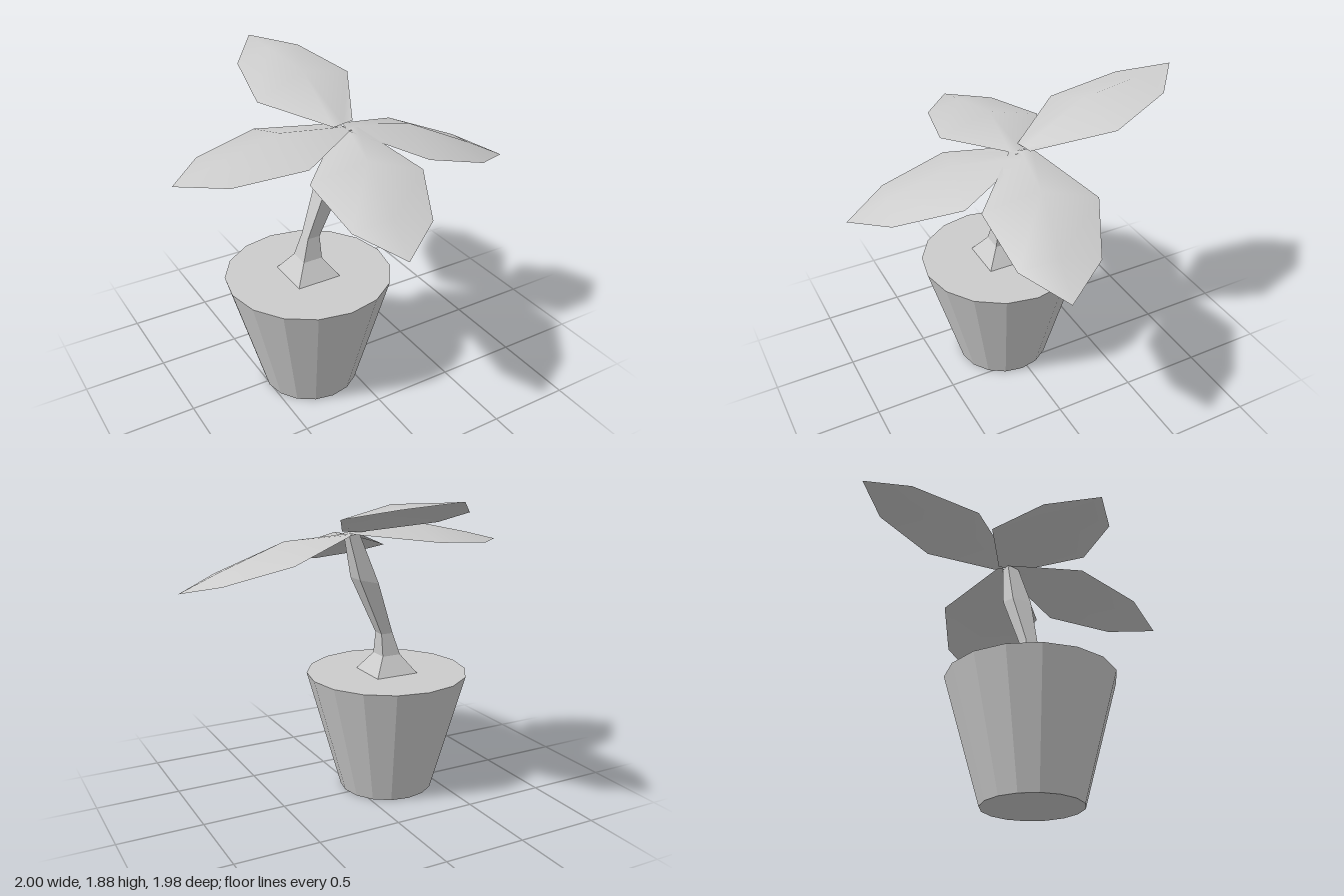
import * as THREE from 'three';

const grey = (options) => new THREE.MeshStandardMaterial({ color: 0xcccccc, ...options });

function buildMesh(name, points, index, material) {
  const geometry = new THREE.BufferGeometry();
  geometry.setAttribute('position', new THREE.Float32BufferAttribute(points.flat(), 3));
  geometry.setIndex(index);
  geometry.computeVertexNormals();
  const mesh = new THREE.Mesh(geometry, material);
  mesh.name = name;
  return mesh;
}

// Square trunk; each section is [x, y, z, half width, slope of the cut]
function createTrunk(sections) {
  const points = [];
  const index = [];
  sections.forEach(([x, y, z, h, slope], i) => {
    for (const [sx, sz] of [[-1, 1], [1, 1], [1, -1], [-1, -1]]) {
      points.push([x + sx * h, y + sx * slope, z + sz * h]);
    }
    if (i === 0) return;
    for (let k = 0; k < 4; k++) {
      const a = (i - 1) * 4 + k;
      const b = (i - 1) * 4 + (k + 1) % 4;
      index.push(a, b, b + 4, a, b + 4, a + 4);
    }
  });
  const t = (sections.length - 1) * 4;
  index.push(t, t + 1, t + 2, t, t + 2, t + 3);
  return buildMesh('trunk', points, index, grey({ flatShading: true }));
}

// Folded leaf: midrib points from base to tip, edges hang below the rib
const HALF_WIDTHS = [0.065, 0.317, 0.217];
const DROPS = [0, 0.09, 0.04];

function createLeaf(name, rib, tilt = 0) {
  const [base, , , tip] = rib;
  const length = Math.hypot(tip[0] - base[0], tip[2] - base[2]);
  const dx = (tip[0] - base[0]) / length;
  const dz = (tip[2] - base[2]) / length;
  const points = [];
  const index = [];
  HALF_WIDTHS.forEach((w, i) => {
    const [x, y, z] = rib[i];
    for (const s of [-1, 0, 1]) {
      points.push([x - s * dz * w, y - Math.abs(s) * DROPS[i] + s * tilt * w, z + s * dx * w]);
    }
  });
  points.push(tip);
  for (let i = 0; i < 2; i++) {
    for (let k = 0; k < 2; k++) {
      const a = i * 3 + k;
      index.push(a, a + 1, a + 4, a, a + 4, a + 3);
    }
  }
  index.push(6, 7, 9, 7, 8, 9);
  return buildMesh(name, points, index, grey({ side: THREE.DoubleSide }));
}

export function createModel() {
  const model = new THREE.Group();
  model.name = 'pottedPlant';

  // Tapered pot with a flat top
  const pot = new THREE.Mesh(
    new THREE.CylinderGeometry(0.493, 0.288, 0.74, 16), grey({ flatShading: true }));
  pot.name = 'pot';
  pot.position.set(-0.22, 0.37, 0.038);
  model.add(pot);

  // Leaning trunk with a flared foot
  model.add(createTrunk([
    [-0.22, 0.74, 0.038, 0.137, 0],
    [-0.22, 0.85, 0.038, 0.06, 0],
    [-0.2, 0.985, 0.038, 0.038, 0],
    [-0.065, 1.32, 0.038, 0.062, 0.015],
    [0.02, 1.6, 0.038, 0.035, 0],
  ]));

  // Four leaves fanning out from the top of the trunk
  model.add(
    createLeaf('backLeaf',
      [[0.035, 1.617, 0.01], [0.0, 1.81, -0.38], [-0.03, 1.85, -0.77], [-0.05, 1.875, -0.99]], 0.085),
    createLeaf('frontLeaf',
      [[0.04, 1.6, 0.04], [-0.05, 1.563, 0.4], [-0.13, 1.41, 0.765], [-0.18, 1.3, 0.985]]),
    createLeaf('rightLeaf',
      [[0.03, 1.605, 0.025], [-0.37, 1.655, 0.022], [-0.77, 1.565, 0.033], [-1.0, 1.505, 0.04]]),
    createLeaf('leftLeaf',
      [[0.035, 1.605, 0.03], [0.415, 1.575, 0.108], [0.783, 1.41, 0.2], [1.0, 1.3, 0.255]]),
  );

  return model;
}
